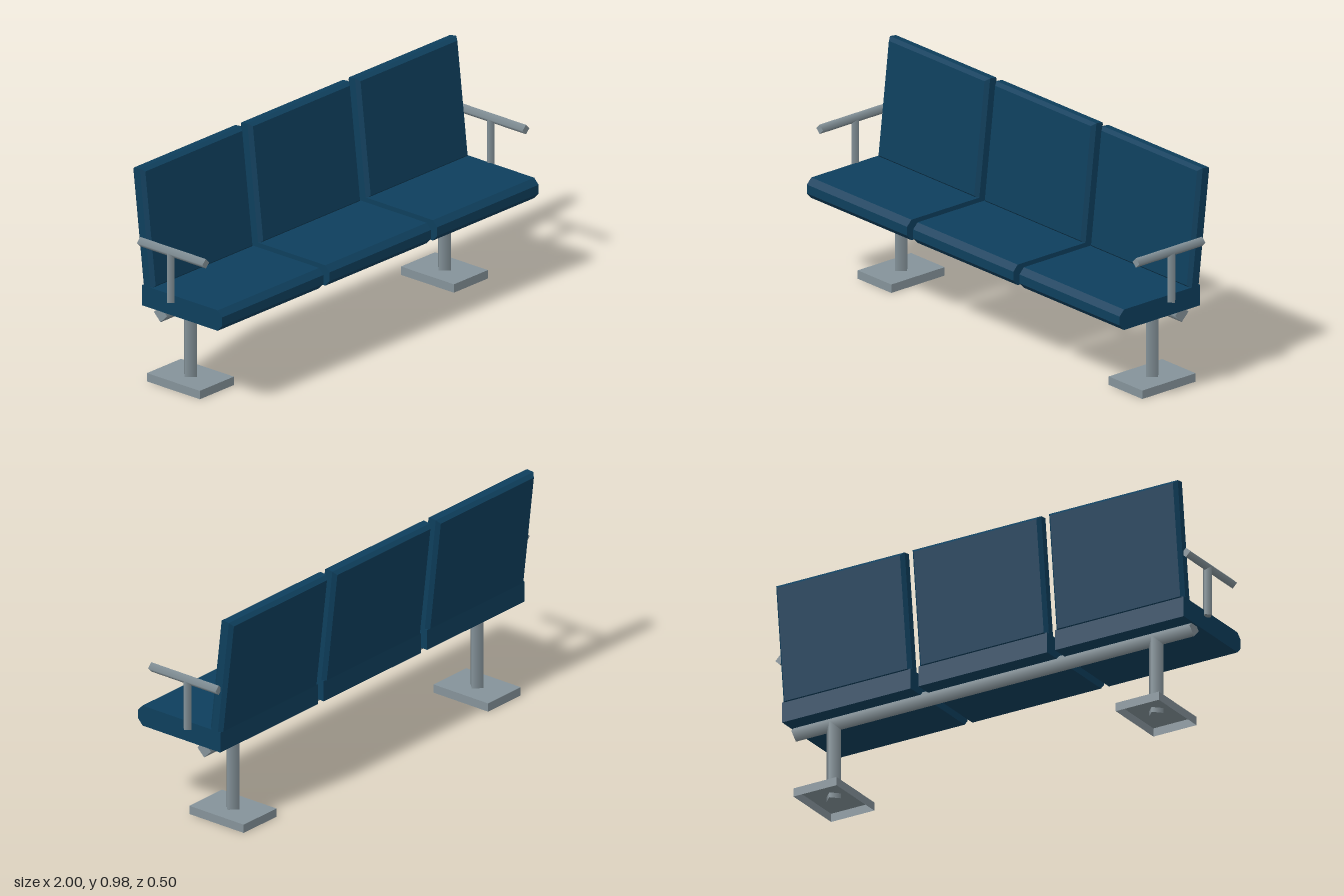
import * as THREE from 'three';

export function createModel() {
  const group = new THREE.Group();
  const blue = new THREE.MeshStandardMaterial({ color: 0x0e3f5d });
  blue.name = 'blue upholstery';
  const metal = new THREE.MeshStandardMaterial({ color: 0x85939a, side: THREE.DoubleSide });
  metal.name = 'grey metal';

  const add = (name, geometry, material, x, y, z) => {
    const mesh = new THREE.Mesh(geometry, material);
    mesh.name = name;
    mesh.position.set(x, y, z);
    group.add(mesh);
    return mesh;
  };
  // Four-sided tube with smooth normals, standing on a corner
  const tube = (radius, length) => new THREE.CylinderGeometry(radius, radius, length, 4);

  // Seat cushion: side profile with chamfered front, extruded across the width
  const seatWidth = 0.62;
  const profile = new THREE.Shape([
    [-0.25, 0.402], [-0.226, 0.376], [0.188, 0.376],
    [0.188, 0.466], [-0.226, 0.466], [-0.25, 0.441],
  ].map(([a, b]) => new THREE.Vector2(a, b)));
  const seatGeo = new THREE.ExtrudeGeometry(profile, { depth: seatWidth, bevelEnabled: false });
  seatGeo.translate(0, 0, -seatWidth / 2).rotateY(Math.PI / 2);

  // Backrest: slab chamfered around its front and back faces
  const bevel = 0.014, depthBevel = 0.017, backHeight = 0.52, backDepth = 0.066;
  const w = seatWidth / 2 - bevel, h = backHeight / 2 - bevel;
  const panel = new THREE.Shape([
    new THREE.Vector2(-w, -h), new THREE.Vector2(w, -h),
    new THREE.Vector2(w, h), new THREE.Vector2(-w, h),
  ]);
  const core = backDepth - 2 * depthBevel;
  const backGeo = new THREE.ExtrudeGeometry(panel, {
    depth: core, bevelEnabled: true, bevelSegments: 1,
    bevelSize: bevel, bevelThickness: depthBevel,
  });
  backGeo.translate(0, 0, -core / 2);

  for (const x of [-0.658, 0, 0.658]) {
    add('seatCushion', seatGeo, blue, x, 0, 0);
    add('backrest', backGeo, blue, x, 0.715, -0.188).rotation.x = -0.115;
  }

  // Beam under the seats
  add('beam', tube(0.036, 1.92), metal, 0, 0.36, -0.095).rotation.z = Math.PI / 2;

  // Base plate is open underneath: remove the bottom face
  const plateGeo = new THREE.BoxGeometry(0.208, 0.037, 0.29);
  const index = Array.from(plateGeo.index.array);
  index.splice(18, 6);
  plateGeo.setIndex(index);
  plateGeo.clearGroups();

  for (const side of [-1, 1]) {
    add('legPost', tube(0.035, 0.345), metal, side * 0.777, 0.1875, -0.095);
    add('basePlate', plateGeo, metal, side * 0.777, 0.0185, -0.095);
    add('armrestPost', tube(0.021, 0.22), metal, side * 0.979, 0.55, -0.022);
    add('armrest', tube(0.021, 0.36), metal, side * 0.979, 0.66, -0.009).rotation.x = Math.PI / 2;
  }
  return group;
}
